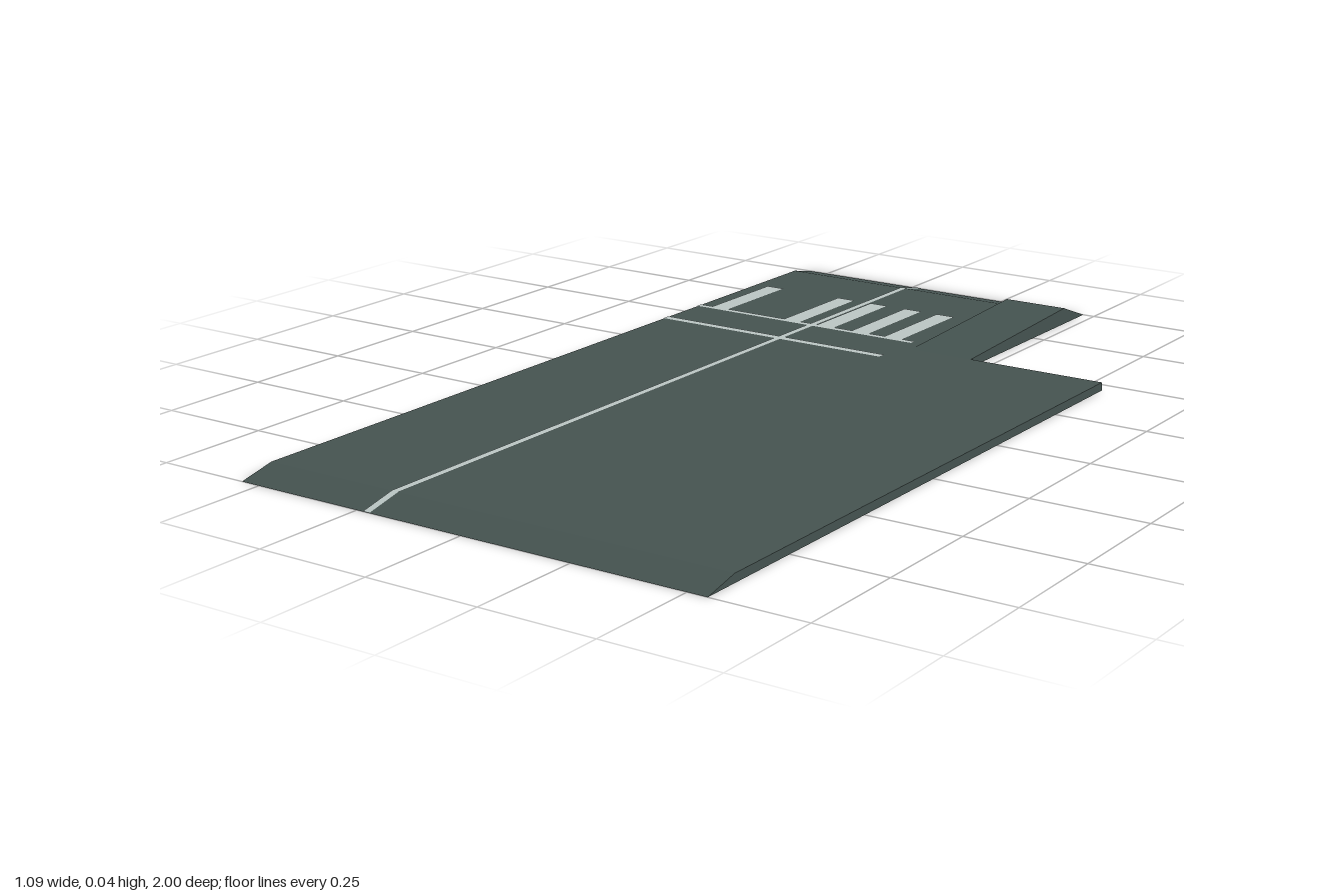
import * as THREE from 'three';

const asphalt = new THREE.MeshStandardMaterial({ color: 0x44524f, side: THREE.DoubleSide, flatShading: true });
asphalt.name = 'asphalt';
const paint = new THREE.MeshStandardMaterial({ color: 0xb9c4c2, side: THREE.DoubleSide, flatShading: true });
paint.name = 'roadPaint';

// Side profiles as [z, y], running from front to back
const H = 0.018;
const roadProfile = [[1, 0], [0.92, H], [-0.92, H], [-1, 0]];
const rampProfile = [[1, 0], [0.92, H], [-0.46, H], [-0.9, 0.038], [-1, 0]];
const wideProfile = [[1, 0], [0.92, H], [-0.46, H]];

// Place a profile at a given x, optionally shifted in height
const at = (x, profile, dy = 0) => profile.map(([z, y]) => [x, Math.max(0, y + dy), z]);
const ground = (points) => points.map(([x, , z]) => [x, 0, z]);

// Flat-faced strip joining two rows of points
function ribbon(a, b) {
  const pos = [];
  for (let i = 0; i < a.length - 1; i++) {
    pos.push(...a[i], ...b[i], ...b[i + 1], ...a[i], ...b[i + 1], ...a[i + 1]);
  }
  const geometry = new THREE.BufferGeometry();
  geometry.setAttribute('position', new THREE.Float32BufferAttribute(pos, 3));
  geometry.computeVertexNormals();
  return geometry;
}

export function createModel() {
  const model = new THREE.Group();
  model.name = 'roadSection';
  const add = (name, a, b, material = asphalt) => {
    const mesh = new THREE.Mesh(ribbon(a, b), material);
    mesh.name = name;
    model.add(mesh);
  };

  // Road surface, open underneath
  const xL = -0.545, xStep = 0.07, xNotch = 0.222, xR = 0.543;
  add('mainRoad', at(xL, roadProfile), at(xStep, roadProfile));
  add('rampLane', at(xStep, rampProfile), at(xNotch, rampProfile));
  add('wideRoad', at(xNotch, wideProfile), at(xR, wideProfile));

  // Side walls down to the ground
  const outer = at(xL, roadProfile);
  add('rightWall', ground(outer), outer);
  const wide = at(xR, wideProfile);
  add('leftWall', wide, ground(wide));
  const ramp = at(xNotch, rampProfile.slice(2));
  add('rampWall', ramp, ground(ramp));
  const notch = [[xNotch, H, -0.46], [xR, H, -0.46]];
  add('notchWall', ground(notch), notch);

  // Step between the road and the raised ramp
  add('rampStep',
    at(xStep, [[-0.46, H], [-0.9, H], [-0.92, H], [-1, 0]]),
    at(xStep, [[-0.46, H], [-0.9, 0.038], [-0.92, 0.0304], [-1, 0]]));

  // Paint shows on both faces of the thin road sheet
  const mark = (name, x0, x1, profile) => {
    add(name, at(x0, profile, 0.0012), at(x1, profile, 0.0012), paint);
    add(name + 'Underside', at(x1, profile, -0.0012), at(x0, profile, -0.0012), paint);
  };
  const flat = (z0, z1) => [[z1, H], [z0, H]];

  mark('centreLine', -0.234, -0.218, roadProfile);
  mark('stopLine', xL, 0.046, flat(-0.514, -0.498));
  mark('crossLine', xL, 0.046, flat(-0.382, -0.362));
  for (const x of [-0.488, -0.284, -0.192, -0.098, -0.01]) {
    mark('crossingBar', x - 0.023, x + 0.023, flat(-0.748, -0.514));
  }
  return model;
}
